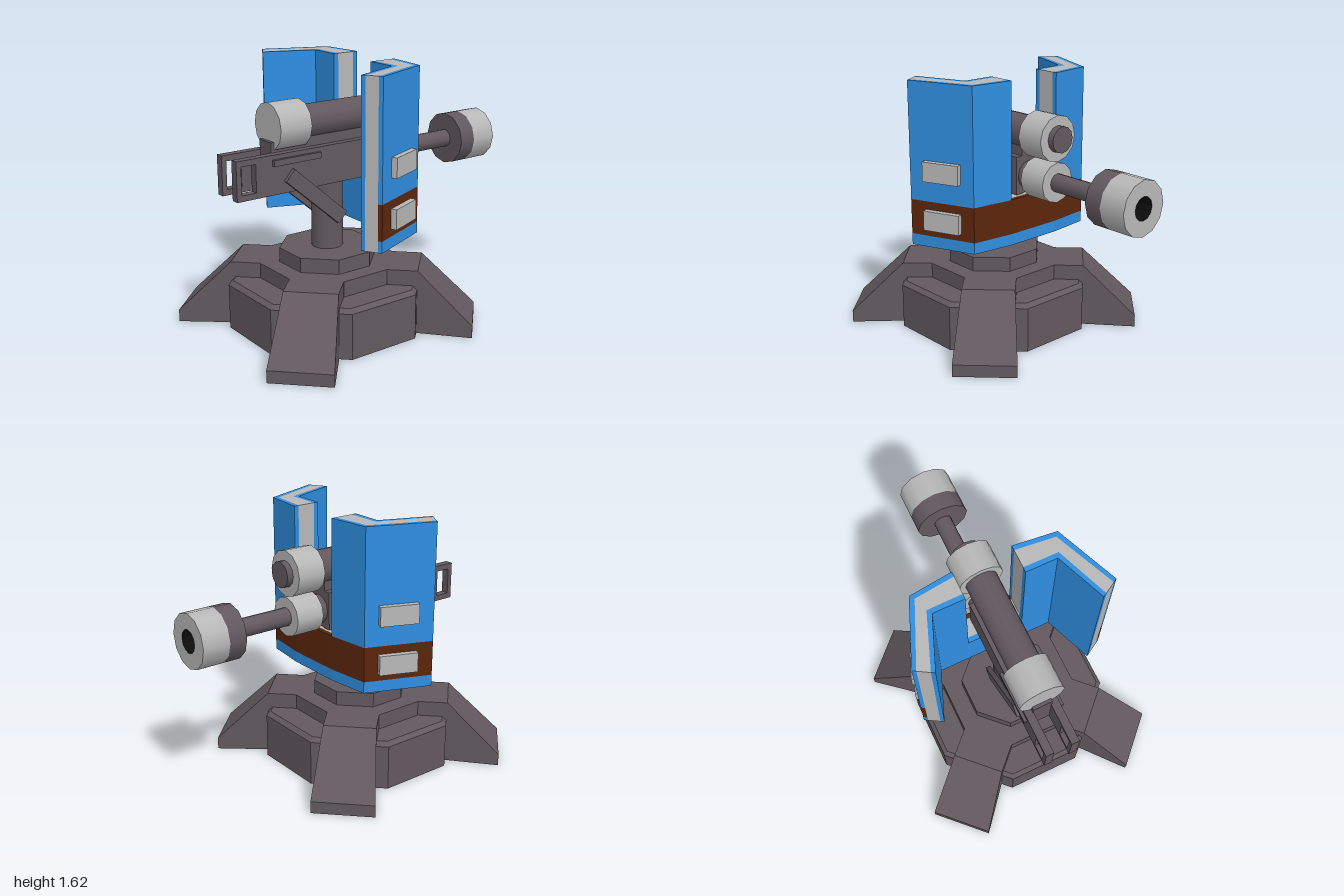
import * as THREE from 'three';

const paint = (color, flatShading = true) =>
  new THREE.MeshStandardMaterial({ color, flatShading, side: THREE.DoubleSide });
const dark = paint(0x62595f), blue = paint(0x2f8ee0), brown = paint(0x5c260c), light = paint(0xb8b8b8);
const darkRound = paint(0x62595f, false), lightRound = paint(0xb8b8b8, false), black = paint(0x0c0c0c);

const BASE_Z = 0.225; // centre of the pedestal
const GUN_Y = 1.28, ROD_Y = 1.015; // upper and lower barrel axes

export function createModel() {
  const model = new THREE.Group();

  const add = (name, geometry, material, x = 0, y = 0, z = 0, parent = model) => {
    const mesh = new THREE.Mesh(geometry, material);
    mesh.name = name;
    mesh.position.set(x, y, z);
    parent.add(mesh);
    return mesh;
  };
  const box = (name, material, w, h, d, x, y, z) =>
    add(name, new THREE.BoxGeometry(w, h, d), material, x, y, z);
  // Tube-like part lying along z between z0 (front) and z1 (back)
  const barrel = (name, material, radius, y, z0, z1, open = false) => {
    const g = new THREE.CylinderGeometry(radius, radius, z0 - z1, 12, 1, open).rotateX(-Math.PI / 2);
    return add(name, g, material, 0, y, (z0 + z1) / 2);
  };
  // Upright prism over an outline of [x, z] points
  const prism = (name, material, points, y0, y1, parent) => {
    const shape = new THREE.Shape(points.map(([x, z]) => new THREE.Vector2(x, -z)));
    const g = new THREE.ExtrudeGeometry(shape, { depth: y1 - y0, bevelEnabled: false }).rotateX(-Math.PI / 2);
    return add(name, g, material, 0, y0, 0, parent);
  };

  // Stepped octagonal pedestal, hollow underneath
  const steps = [[0.566, 0], [0.566, 0.28], [0.54, 0.305], [0.385, 0.305], [0.385, 0.4],
    [0.275, 0.4], [0.275, 0.49], [0, 0.49]];
  const octagon = steps.map(([a, y]) => new THREE.Vector2(a / Math.cos(Math.PI / 8), y));
  add('pedestal', new THREE.LatheGeometry(octagon, 8, Math.PI / 8), dark, 0, 0, BASE_Z);

  // Four sloping legs on the diagonals, open below
  const legGeometry = buildLeg([[0.37, 0.159, 0.4], [0.569, 0.159, 0.4], [0.902, 0.1875, 0.075]]);
  for (let i = 0; i < 4; i++) {
    add('leg', legGeometry, dark, 0, 0, BASE_Z).rotation.y = Math.PI / 4 + i * Math.PI / 2;
  }

  // Pillar
  add('pillar', new THREE.CylinderGeometry(0.097, 0.097, 0.52, 16), darkRound, 0, 0.7, BASE_Z);

  // Shield: three layers between four lines, each [x, z] from the gap to the arm's end
  const lines = [
    [[0.18, -0.14], [0.447, -0.11], [0.605, 0.28]],
    [[0.18, -0.11], [0.425, -0.083], [0.583, 0.293]],
    [[0.18, 0.003], [0.395, 0.005], [0.517, 0.332]],
    [[0.18, 0.035], [0.375, 0.035], [0.495, 0.345]],
  ];
  const mirror = (points) => points.map(([x, z]) => [-x, z]);
  const shield = new THREE.Group();
  shield.name = 'shield';
  model.add(shield);
  const layers = [
    ['shieldOuter', [[blue, 0.615, 0.685], [brown, 0.685, 0.9]], blue],
    ['shieldCore', [[light, 0.615, 0.9]], light],
    ['shieldInner', [[blue, 0.615, 0.9]], blue],
  ];
  layers.forEach(([name, bands, upper], i) => {
    const a = lines[i], b = lines[i + 1];
    const full = [...mirror(a).reverse(), ...a, ...[...b].reverse(), ...mirror(b)];
    const half = [...a, ...[...b].reverse()];
    for (const [material, y0, y1] of bands) prism(name + 'Lower', material, full, y0, y1, shield);
    for (const outline of [half, mirror(half)]) prism(name + 'Upper', upper, outline, 0.9, 1.615, shield);
  });

  // Raised pads on the outside of the shield arms
  for (const side of [-1, 1]) {
    for (const y of [0.79, 1.09]) {
      box('shieldPad', light, 0.07, 0.12, 0.235, side * 0.523, y, 0.077).rotation.y = side * 0.385;
    }
  }

  // Upper barrel with its end caps
  barrel('upperBarrel', darkRound, 0.1, GUN_Y, 0.45, -0.2);
  barrel('frontCap', lightRound, 0.14, GUN_Y, 0.63, 0.42);
  barrel('rearCap', lightRound, 0.14, GUN_Y, -0.155, -0.34);
  barrel('rearStub', darkRound, 0.08, GUN_Y, -0.3, -0.38);

  // Lower barrel with collar and muzzle
  barrel('lowerBarrel', darkRound, 0.09, ROD_Y, 0.3, -0.18);
  barrel('collar', lightRound, 0.122, ROD_Y, -0.155, -0.34);
  barrel('rod', darkRound, 0.056, ROD_Y, -0.3, -0.75);
  barrel('muzzleBase', darkRound, 0.165, ROD_Y, -0.72, -0.83);
  barrel('muzzle', lightRound, 0.165, ROD_Y, -0.83, -1, true);
  add('muzzleRim', new THREE.RingGeometry(0.07, 0.165, 12).rotateY(Math.PI), light, 0, ROD_Y, -1);
  barrel('muzzleBore', black, 0.07, ROD_Y, -0.84, -1, true);
  add('boreEnd', new THREE.CircleGeometry(0.07, 12).rotateY(Math.PI), black, 0, ROD_Y, -0.845);

  // Cradle: side plates with a window, drawn as [z, y] and extruded across x
  const plate = new THREE.Shape([[0.905, 0.905], [0.905, 1.14], [-0.1, 1.14], [-0.1, 0.905]]
    .map(([z, y]) => new THREE.Vector2(-z, y)));
  plate.holes.push(new THREE.Path([[0.875, 0.94], [0.78, 0.94], [0.78, 1.105], [0.875, 1.105]]
    .map(([z, y]) => new THREE.Vector2(-z, y))));
  const plateGeometry = new THREE.ExtrudeGeometry(plate, { depth: 0.05, bevelEnabled: false })
    .translate(0, 0, -0.025).rotateY(Math.PI / 2);
  for (const side of [-1, 1]) {
    add('cradlePlate', plateGeometry, dark, side * 0.08, 0, 0);
    box('cradleRail', dark, 0.03, 0.036, 0.32, side * 0.11, 1.095, 0.51);
    // Slanting brace down to the pillar
    box('brace', dark, 0.03, 0.088, 0.49, side * 0.115, 0.848, 0.382).rotation.x = -0.72;
  }
  box('cradleCore', dark, 0.12, 0.29, 0.75, 0, 1.055, 0.275);

  return model;
}

// Leg from cross-sections [distance, half width, height], with a closed outer end
function buildLeg(sections) {
  const rings = sections.map(([r, w, h]) => [[-w, 0, r], [-w, h, r], [w, h, r], [w, 0, r]]);
  const positions = [];
  const quad = (a, b, c, d) => positions.push(...a, ...b, ...c, ...a, ...c, ...d);
  for (let i = 0; i < rings.length - 1; i++) {
    for (let j = 0; j < 3; j++) quad(rings[i][j], rings[i + 1][j], rings[i + 1][j + 1], rings[i][j + 1]);
  }
  const end = rings[rings.length - 1];
  quad(end[0], end[3], end[2], end[1]);
  const geometry = new THREE.BufferGeometry();
  geometry.setAttribute('position', new THREE.Float32BufferAttribute(positions, 3));
  geometry.computeVertexNormals();
  return geometry;
}
